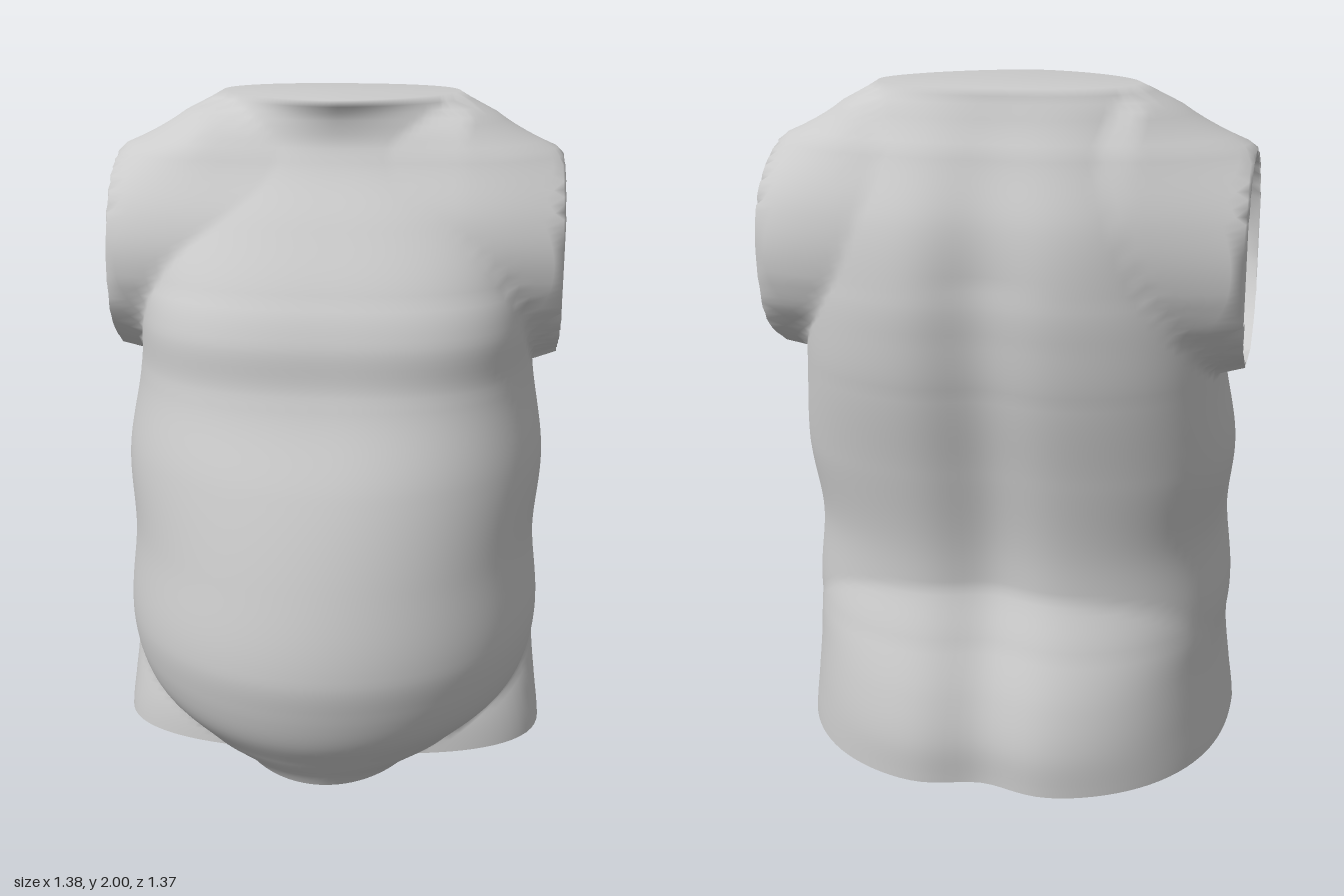
import * as THREE from 'three';

const SEG = 128;   // points around each section
const STEP = 0.02; // height between sections

// Rows: height, half width, front z, back z, centre z, front and back squareness
const TRUNK = [
  [0.00, 0.33, 0.52, -0.50, 0.00, 2, 2.4],
  [0.08, 0.47, 0.57, -0.53, 0.00, 2, 2.5],
  [0.19, 0.59, 0.64, -0.54, 0.00, 2, 2.6],
  [0.30, 0.64, 0.675, -0.545, 0.00, 2, 2.7],
  [0.44, 0.655, 0.69, -0.545, 0.00, 2, 2.7],
  [0.68, 0.635, 0.64, -0.55, 0.00, 2, 2.7],
  [0.92, 0.655, 0.555, -0.59, -0.06, 2.1, 2.6],
  [1.18, 0.62, 0.43, -0.64, -0.17, 2.6, 2.5],
  [1.34, 0.61, 0.405, -0.66, -0.19, 2.8, 2.4],
  [1.46, 0.60, 0.35, -0.665, -0.19, 2.7, 2.3],
  [1.65, 0.57, 0.225, -0.64, -0.19, 2.5, 2.3],
  [1.84, 0.50, 0.09, -0.565, -0.20, 2.2, 2.3],
  [1.95, 0.43, 0.075, -0.51, -0.23, 1.7, 2.3],
  [2.00, 0.37, 0.10, -0.49, -0.25, 1.6, 2.3],
];

// Buttocks and tops of the thighs, with the belly hanging over them
const HIPS = [
  [0.00, 0.68, 0.33, -0.70, 0, 2.6, 2.4],
  [0.13, 0.665, 0.31, -0.70, 0, 2.5, 2.4],
  [0.27, 0.65, 0.24, -0.665, 0, 2.4, 2.5],
  [0.40, 0.645, 0.14, -0.61, 0, 2.2, 2.6],
  [0.58, 0.62, 0.05, -0.545, 0, 2, 2.7],
];

const ARM_END = 0.69;
const ARM_BOTTOM = 1.21;

// Smooth interpolation of a table at a height
function sample(rows, y) {
  const at = (i) => rows[Math.max(0, Math.min(rows.length - 1, i))];
  let i = 0;
  while (i < rows.length - 2 && rows[i + 1][0] < y) i++;
  const t = (y - rows[i][0]) / (rows[i + 1][0] - rows[i][0]);
  return rows[i].map((q, k) => {
    const p = at(i - 1)[k], r = at(i + 1)[k], u = at(i + 2)[k];
    return q + 0.5 * t * (r - p + t * (2 * p - 5 * q + 4 * r - u + t * (3 * (q - r) + u - p)));
  });
}

// Distance from the centre to a squarish oval in direction (c, s)
function ovalRadius([, w, front, back, zc, nf, nb], c, s) {
  const n = s > 0 ? nf : nb;
  const depth = s > 0 ? front - zc : zc - back;
  return ((Math.abs(c) / w) ** n + (Math.abs(s) / depth) ** n) ** (-1 / n);
}

// Half thickness of the arm at x and height y: upright ovals growing toward the chest
function armHalf(x, y) {
  const inward = ARM_END - x;
  const top = Math.min(1.83 + inward * 0.55, 1.995);
  const radius = (top - ARM_BOTTOM) / 2;
  const rise = (y - ARM_BOTTOM - radius) / radius;
  return (0.305 + inward * 0.35) * Math.sqrt(Math.max(0, 1 - rise * rise));
}

// Distance to the arm surface, held within the depth of the chest and back
function armRadius([y, , front, back, zc], c, s) {
  const depth = s > 0 ? front - zc : zc - back;
  let low = 0, high = Math.min(ARM_END / Math.max(Math.abs(c), 1e-6), 1);
  const inside = (r) => {
    const half = armHalf(r * Math.abs(c), y);
    return half > 0 && (r * Math.abs(s) / half) ** 5 + (r * Math.abs(s) / depth) ** 5 <= 1;
  };
  if (inside(high)) return high;
  for (let i = 0; i < 24; i++) {
    const mid = (low + high) / 2;
    if (inside(mid)) low = mid;
    else high = mid;
  }
  return low;
}

// Even angles, with the nearest ones moved onto the corners of the arm ends
function sectionAngles(y) {
  const angles = Array.from({ length: SEG }, (_, j) => (j / SEG) * Math.PI * 2);
  const half = armHalf(ARM_END, y);
  if (half > 0.02) {
    const corner = Math.atan2(half, ARM_END);
    for (const a of [corner, Math.PI - corner, Math.PI + corner, 2 * Math.PI - corner]) {
      angles[Math.round((a / (2 * Math.PI)) * SEG) % SEG] = a;
    }
  }
  return angles;
}

// One horizontal section: the outermost of trunk, hips and arms
function section(y) {
  const trunk = sample(TRUNK, y);
  const hips = y <= 0.58 ? sample(HIPS, y) : null;
  return sectionAngles(y).map((t) => {
    const c = Math.cos(t), s = Math.sin(t);
    let r = ovalRadius(trunk, c, s);
    if (y > ARM_BOTTOM) r = Math.max(r, armRadius(trunk, c, s));
    if (hips) r = Math.max(r, ovalRadius(hips, c, s));
    const x = r * c;
    // Broad groove along the spine, fading at the neck
    const groove = s < 0 ? 0.055 * Math.exp(-((x / 0.13) ** 2)) * Math.min(1, (2 - y) * 2) : 0;
    return new THREE.Vector3(x, y, trunk[4] + r * s + groove);
  });
}

export function createModel() {
  const model = new THREE.Group();
  model.name = 'torso';

  const count = Math.round(2 / STEP);
  const points = Array.from({ length: count + 1 }, (_, i) => section((i * 2) / count)).flat();
  const index = [];
  // The right arm end is open, so faces lying in its end plane are left out
  const addFace = (...face) => {
    if (!face.every((i) => points[i].x < 0.003 - ARM_END)) index.push(...face);
  };
  for (let i = 0; i < count; i++) {
    for (let j = 0; j < SEG; j++) {
      const a = i * SEG + j, b = i * SEG + ((j + 1) % SEG);
      addFace(a, a + SEG, b);
      addFace(b, a + SEG, b + SEG);
    }
  }

  // Neck closed across the collar; the bottom stays open
  const top = count * SEG, centre = top + SEG;
  points.push(new THREE.Vector3(0, 2, -0.22));
  for (let j = 0; j < SEG; j++) addFace(centre, top + ((j + 1) % SEG), top + j);

  const geometry = new THREE.BufferGeometry().setFromPoints(points);
  geometry.setIndex(index);
  geometry.computeVertexNormals();
  const skin = new THREE.Mesh(
    geometry,
    new THREE.MeshStandardMaterial({ color: 0xcccccc, side: THREE.DoubleSide })
  );
  skin.name = 'torsoSkin';
  model.add(skin);
  return model;
}
